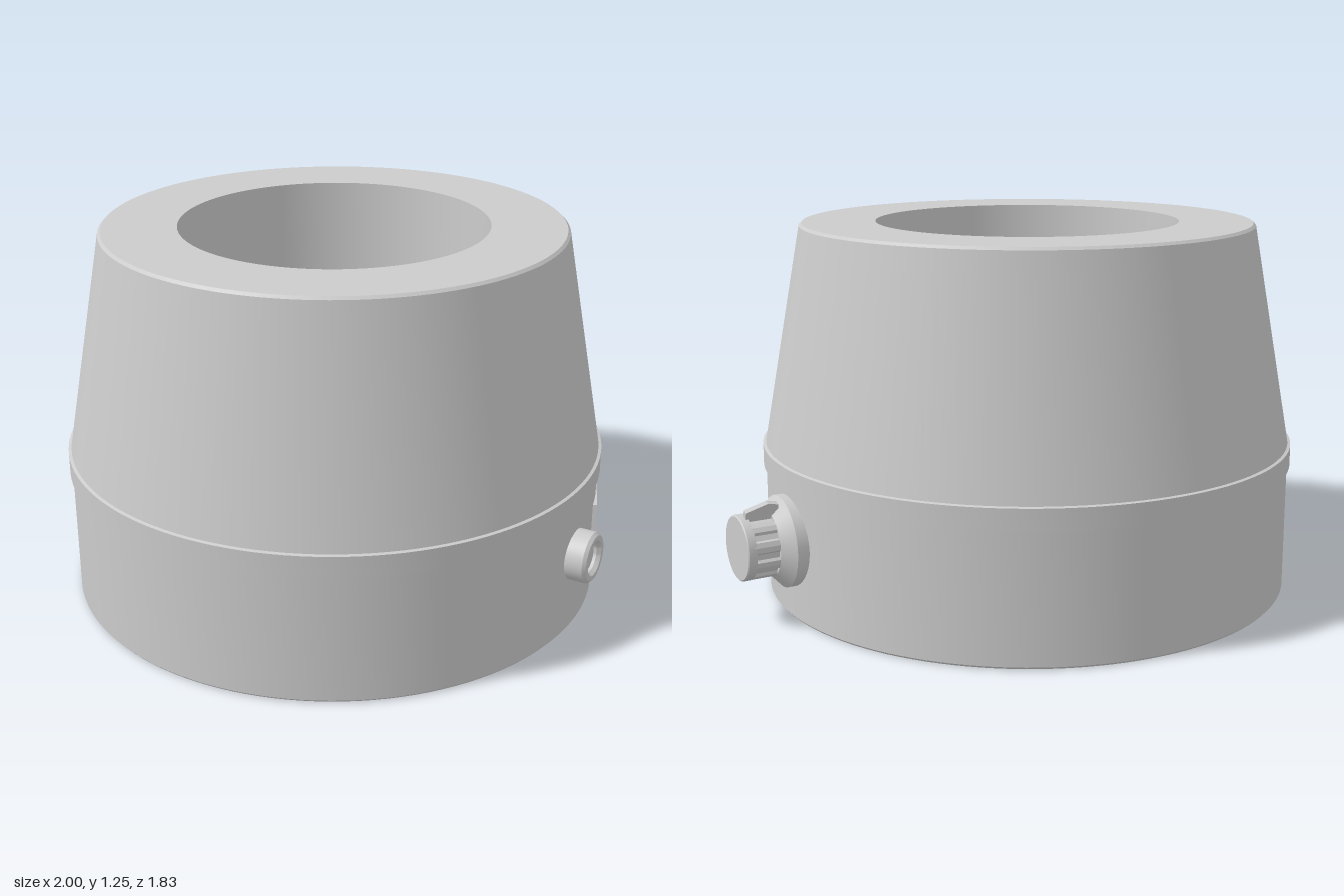
import * as THREE from 'three';
import { toCreasedNormals } from 'three/addons/utils/BufferGeometryUtils.js';

const material = new THREE.MeshStandardMaterial({ color: 0xcccccc });

function part(name, geometry) {
  const mesh = new THREE.Mesh(geometry, material);
  mesh.name = name;
  return mesh;
}

// Turned part from [radius, height] pairs, with crisp edges
function turned(name, profile, segments) {
  const points = profile.map(([r, y]) => new THREE.Vector2(r, y));
  return part(name, toCreasedNormals(new THREE.LatheGeometry(points, segments), 0.4));
}

// Group whose +z points outward from the housing axis at the given angle
function radial(name, angle, y) {
  const group = new THREE.Group();
  group.name = name;
  group.rotation.y = angle;
  group.position.y = y;
  return group;
}

export function createModel() {
  const model = new THREE.Group();
  const body = new THREE.Group();
  body.name = 'body';
  body.position.x = -0.085;
  model.add(body);

  // Hollow housing: straight base, raised band, tapered upper wall, through bore
  body.add(turned('housing', [
    [0.515, 0], [0.9, 0], [0.906, 0.007], [0.906, 0.437],
    [0.915, 0.437], [0.915, 0.508], [0.905, 0.511],
    [0.772, 1.246], [0.763, 1.255], [0.515, 1.255], [0.515, 0],
  ], 128));

  // Round socket with a chamfered rim and a recessed centre
  const socket = radial('socket', THREE.MathUtils.degToRad(26.9), 0.265);
  const ring = turned('socketRing', [
    [0.086, 0.85], [0.086, 0.962], [0.077, 0.973], [0.06, 0.973],
    [0.05, 0.96], [0.05, 0.95], [0, 0.95],
  ], 40);
  ring.rotation.x = Math.PI / 2;
  socket.add(ring);
  body.add(socket);

  // Flat rectangular display plate
  const display = radial('display', THREE.MathUtils.degToRad(48.4), 0.277);
  const plate = part('displayPlate', new THREE.BoxGeometry(0.276, 0.145, 0.04));
  plate.position.z = 0.889;
  display.add(plate);
  body.add(display);

  // Control knob: flared skirt, fluted grip and pointer, pointing to +x
  const knob = radial('knob', Math.PI / 2, 0.26);
  const skirt = turned('knobSkirt', [
    [0.152, 0.86], [0.152, 0.932], [0.145, 0.938], [0.108, 0.972], [0, 0.972],
  ], 48);
  skirt.rotation.x = Math.PI / 2;
  knob.add(skirt);

  // Grip outline: broad ridges alternating with shallow grooves
  const flutes = 10;
  const outline = [];
  for (let i = 0; i < flutes; i++) {
    for (const [t, r] of [[0.1, 0.107], [0.35, 0.109], [0.6, 0.107], [0.7, 0.098], [1, 0.098]]) {
      const a = ((i + t) / flutes) * Math.PI * 2;
      outline.push(new THREE.Vector2(Math.cos(a) * r, Math.sin(a) * r));
    }
  }
  const grip = part('knobGrip', new THREE.ExtrudeGeometry(new THREE.Shape(outline), { depth: 0.09, bevelEnabled: false }));
  grip.position.z = 0.965;
  knob.add(grip);

  const cap = turned('knobCap', [[0.108, 1.05], [0.108, 1.076], [0.104, 1.08], [0, 1.08]], 40);
  cap.rotation.x = Math.PI / 2;
  knob.add(cap);

  // Pointer fin, drawn as (outward, up) and tilted slightly off vertical
  const fin = new THREE.Shape([[0.95, 0.08], [1.06, 0.08], [1.06, 0.13], [0.985, 0.153], [0.95, 0.145]]
    .map(([x, y]) => new THREE.Vector2(x, y)));
  const finGeometry = new THREE.ExtrudeGeometry(fin, { depth: 0.022, bevelEnabled: false });
  finGeometry.translate(0, 0, -0.011);
  finGeometry.rotateY(-Math.PI / 2);
  const pointer = part('knobPointer', finGeometry);
  pointer.rotation.z = -0.23;
  knob.add(pointer);
  body.add(knob);

  return model;
}
